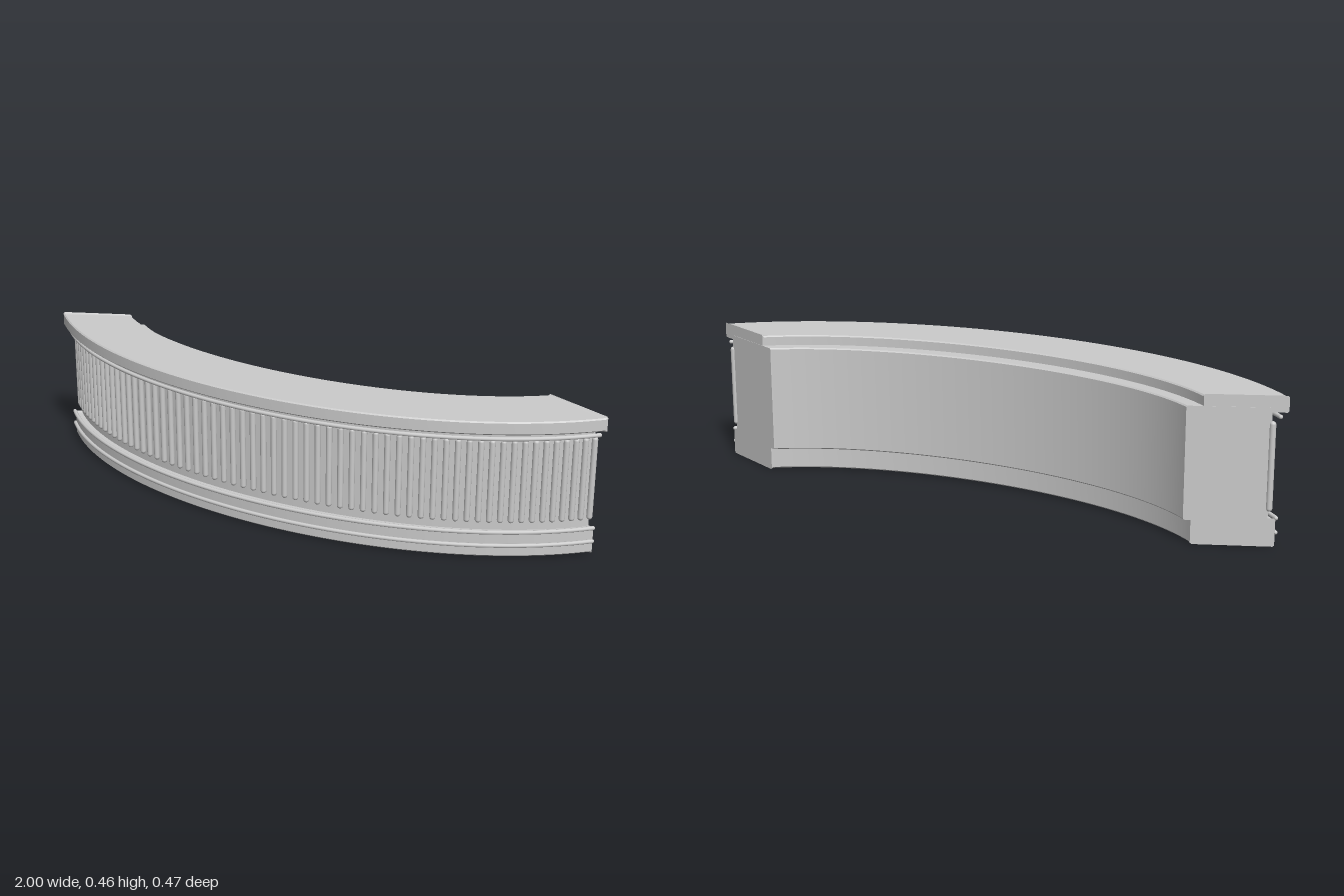
import * as THREE from 'three';
import { toCreasedNormals } from 'three/addons/utils/BufferGeometryUtils.js';

const HALF = 0.995; // half sweep angle in radians
const SEGMENTS = 72;

// Elliptical arc through (0, zFront), ending at (+-halfWidth, zEnd); t runs 0..1 from -x to +x
function arc(halfWidth, zEnd, zFront) {
  const a = halfWidth / Math.sin(HALF);
  const b = (zFront - zEnd) / (1 - Math.cos(HALF));
  return (t) => {
    const q = (2 * t - 1) * HALF;
    return new THREE.Vector3(a * Math.sin(q), 0, zFront - b + b * Math.cos(q));
  };
}

// Curved block between a back and a front arc, with chamfered long edges and fanned end caps
function curvedBlock(back, front, y0, y1, flare = 0) {
  const c = 0.004, cu = 0.018;
  const section = [
    [cu, y0], [1 - cu, y0], [1, y0 + c], [1, y1 - c],
    [1 - cu, y1], [cu, y1], [0, y1 - c], [0, y0 + c],
  ];
  const n = section.length, mid = (y0 + y1) / 2;
  const pos = [], idx = [];
  // the end rings flare out slightly in height; the rings next to them sit close by
  const steps = [0, 0.004];
  for (let i = 1; i < SEGMENTS; i++) steps.push(i / SEGMENTS);
  steps.push(0.996, 1);
  steps.forEach((t, i) => {
    const grow = i === 0 || i === steps.length - 1 ? flare : 0;
    for (const [u, y] of section) {
      const p = back(t).lerp(front(t), u);
      pos.push(p.x, y + Math.sign(y - mid) * grow, p.z);
    }
  });
  for (let i = 0; i < steps.length - 1; i++) {
    for (let j = 0; j < n; j++) {
      const a = i * n + j, b = i * n + (j + 1) % n;
      idx.push(a, a + n, b, b, a + n, b + n);
    }
  }
  [0, 1].forEach((t) => {
    const p = back(t).lerp(front(t), 0.5);
    const centre = pos.length / 3, base = t * (steps.length - 1) * n;
    pos.push(p.x, mid, p.z);
    for (let j = 0; j < n; j++) {
      const a = base + j, b = base + (j + 1) % n;
      if (t) idx.push(centre, b, a);
      else idx.push(centre, a, b);
    }
  });
  const g = new THREE.BufferGeometry();
  g.setAttribute('position', new THREE.Float32BufferAttribute(pos, 3));
  g.setIndex(idx);
  return toCreasedNormals(g, 0.6);
}

export function createModel() {
  const model = new THREE.Group();
  const material = new THREE.MeshStandardMaterial({ color: 0xcccccc });
  const add = (geometry, name, parent = model) => {
    const mesh = new THREE.Mesh(geometry, material);
    mesh.name = name;
    parent.add(mesh);
    return mesh;
  };

  // Main blocks: plinth, body and counter top
  add(curvedBlock(arc(0.75, -0.225, -0.02), arc(0.975, -0.13, 0.212), 0.004, 0.083, 0.004), 'plinth');
  add(curvedBlock(arc(0.73, -0.235, -0.04), arc(0.955, -0.14, 0.185), 0.075, 0.42), 'body');
  add(curvedBlock(arc(0.775, -0.215, 0.012), arc(0.998, -0.12, 0.235), 0.41, 0.452, 0.004), 'counterTop');

  // Round rails running along the front
  const railRadius = 0.0065;
  const railArc = arc(0.975, -0.125, 0.2185);
  const points = [];
  for (let i = 0; i <= 40; i++) points.push(railArc(i / 40));
  const railCurve = new THREE.CatmullRomCurve3(points);
  [['lowerPlinthRail', 0.043], ['upperPlinthRail', 0.087], ['topRail', 0.392]].forEach(([name, y]) => {
    const rail = new THREE.Group();
    rail.name = name;
    rail.position.y = y;
    add(new THREE.TubeGeometry(railCurve, 80, railRadius, 10), 'railTube', rail);
    for (const t of [0, 1]) {
      add(new THREE.SphereGeometry(railRadius, 10, 8), 'railEnd', rail).position.copy(railArc(t));
    }
    model.add(rail);
  });

  // Vertical reeds covering the front of the body
  const reeds = new THREE.Group();
  reeds.name = 'reeds';
  const reedArc = arc(0.957, -0.137, 0.19);
  const reedRadius = 0.0095, reedHeight = 0.272, reedCount = 61;
  const reedGeometry = new THREE.CapsuleGeometry(reedRadius, reedHeight - 2 * reedRadius, 3, 12);
  for (let i = 0; i < reedCount; i++) {
    const reed = add(reedGeometry, 'reed', reeds);
    reed.position.copy(reedArc(i / (reedCount - 1))).setY(0.108 + reedHeight / 2);
  }
  model.add(reeds);

  return model;
}
